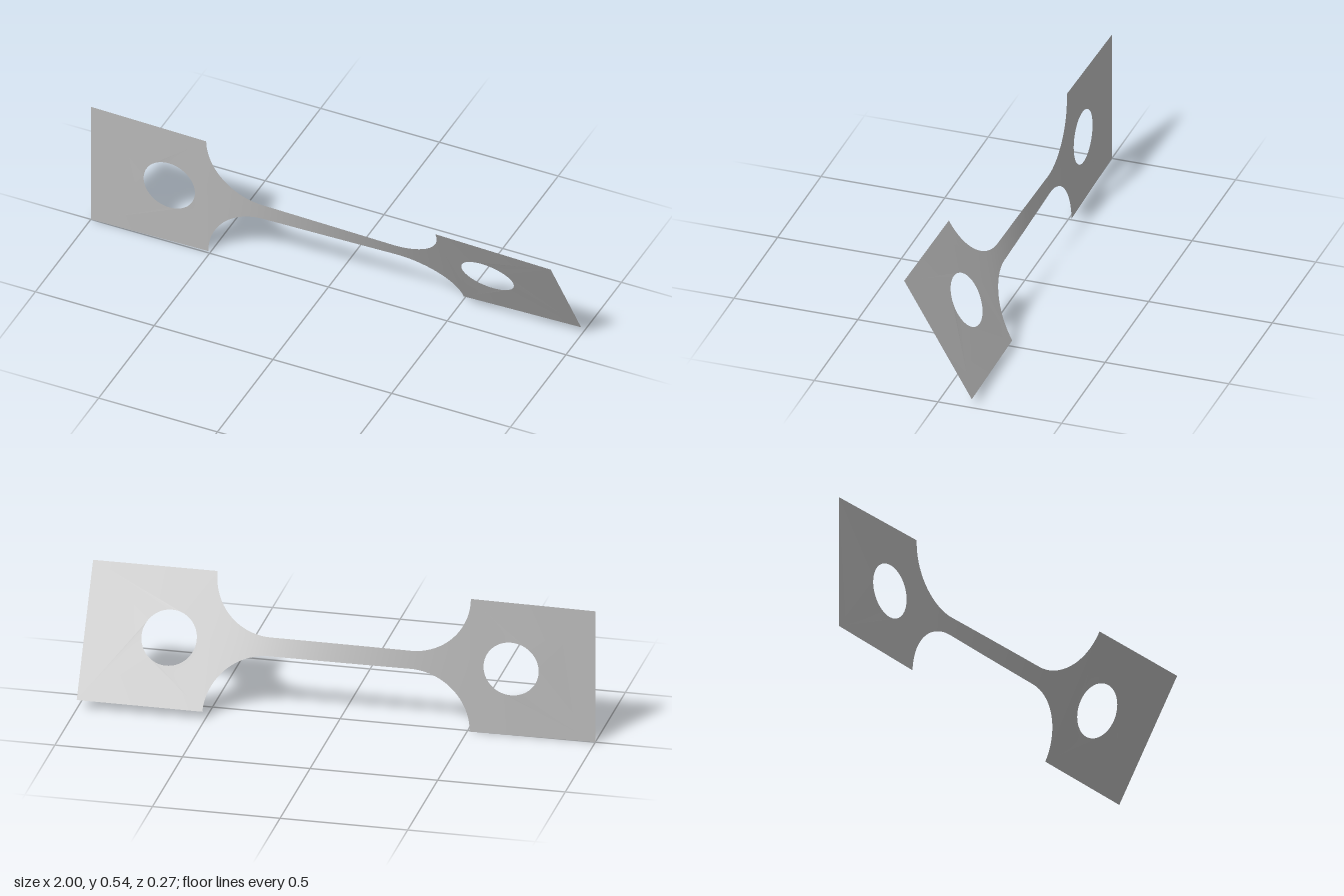
import * as THREE from 'three';

const HALF_LENGTH = 1, HALF_WIDTH = 0.271, NECK = 0.036;
const SHOULDER = 0.51, RADIUS = HALF_WIDTH - NECK, NECK_END = SHOULDER - RADIUS;
const HOLE_X = 0.67, HOLE_RADIUS = 0.108;
const TWIST = THREE.MathUtils.degToRad(30.3);

// Half width of the flat strip at x: wide grip, round fillet, slim neck
function halfWidth(x) {
  const d = Math.abs(x);
  if (d >= SHOULDER) return HALF_WIDTH;
  if (d <= NECK_END) return NECK;
  return HALF_WIDTH - Math.sqrt(Math.max(0, RADIUS ** 2 - (d - NECK_END) ** 2));
}

// Twist builds up along the strip, faster where it is narrow
const STEPS = 800, cumulative = [0];
for (let i = 0; i < STEPS; i++) {
  const x = -HALF_LENGTH + (2 * HALF_LENGTH * (i + 0.5)) / STEPS;
  cumulative.push(cumulative[i] + 1 / halfWidth(x));
}
function twistAt(x) {
  const t = THREE.MathUtils.clamp((x + HALF_LENGTH) / (2 * HALF_LENGTH), 0, 1) * STEPS;
  const i = Math.min(Math.floor(t), STEPS - 1);
  return TWIST * THREE.MathUtils.lerp(cumulative[i], cumulative[i + 1], t - i) / cumulative[STEPS];
}

// Turn every flat vertex about the long axis
function twist(geometry) {
  const p = geometry.attributes.position;
  for (let i = 0; i < p.count; i++) {
    const y = p.getY(i), a = twistAt(p.getX(i));
    p.setXYZ(i, p.getX(i), HALF_WIDTH + y * Math.cos(a), y * Math.sin(a));
  }
  geometry.computeVertexNormals();
  return geometry;
}

// Rectangular grip with a round hole
function gripGeometry(side) {
  const x0 = Math.min(side * SHOULDER, side * HALF_LENGTH);
  const x1 = Math.max(side * SHOULDER, side * HALF_LENGTH);
  const shape = new THREE.Shape([
    new THREE.Vector2(x0, -HALF_WIDTH), new THREE.Vector2(x1, -HALF_WIDTH),
    new THREE.Vector2(x1, HALF_WIDTH), new THREE.Vector2(x0, HALF_WIDTH),
  ]);
  shape.holes.push(new THREE.Path().absarc(side * HOLE_X, 0, HOLE_RADIUS, 0, Math.PI * 2, true));
  return twist(new THREE.ShapeGeometry(shape, 32));
}

// Neck and both fillets as one strip, with even steps round each fillet
function neckGeometry() {
  const xs = [], n = 24, m = 32;
  for (let i = 0; i < n; i++) xs.push(-NECK_END - RADIUS * Math.cos((i / n) * Math.PI / 2));
  for (let i = 0; i <= m; i++) xs.push(NECK_END * (2 * i / m - 1));
  for (let i = 1; i <= n; i++) xs.push(NECK_END + RADIUS * Math.sin((i / n) * Math.PI / 2));
  const geometry = new THREE.PlaneGeometry(1, 2, xs.length - 1, 6);
  const p = geometry.attributes.position;
  for (let i = 0; i < p.count; i++) {
    const x = xs[i % xs.length];
    p.setXY(i, x, p.getY(i) * halfWidth(x));
  }
  return twist(geometry);
}

export function createModel() {
  const group = new THREE.Group();
  group.name = 'twistedTestStrip';
  const metal = new THREE.MeshStandardMaterial({ color: 0xb8b8b8, side: THREE.DoubleSide });
  metal.name = 'grey metal';

  const add = (name, geometry) => {
    const mesh = new THREE.Mesh(geometry, metal);
    mesh.name = name;
    group.add(mesh);
  };
  add('rightGrip', gripGeometry(-1));
  add('twistedNeck', neckGeometry());
  add('leftGrip', gripGeometry(1));
  return group;
}
